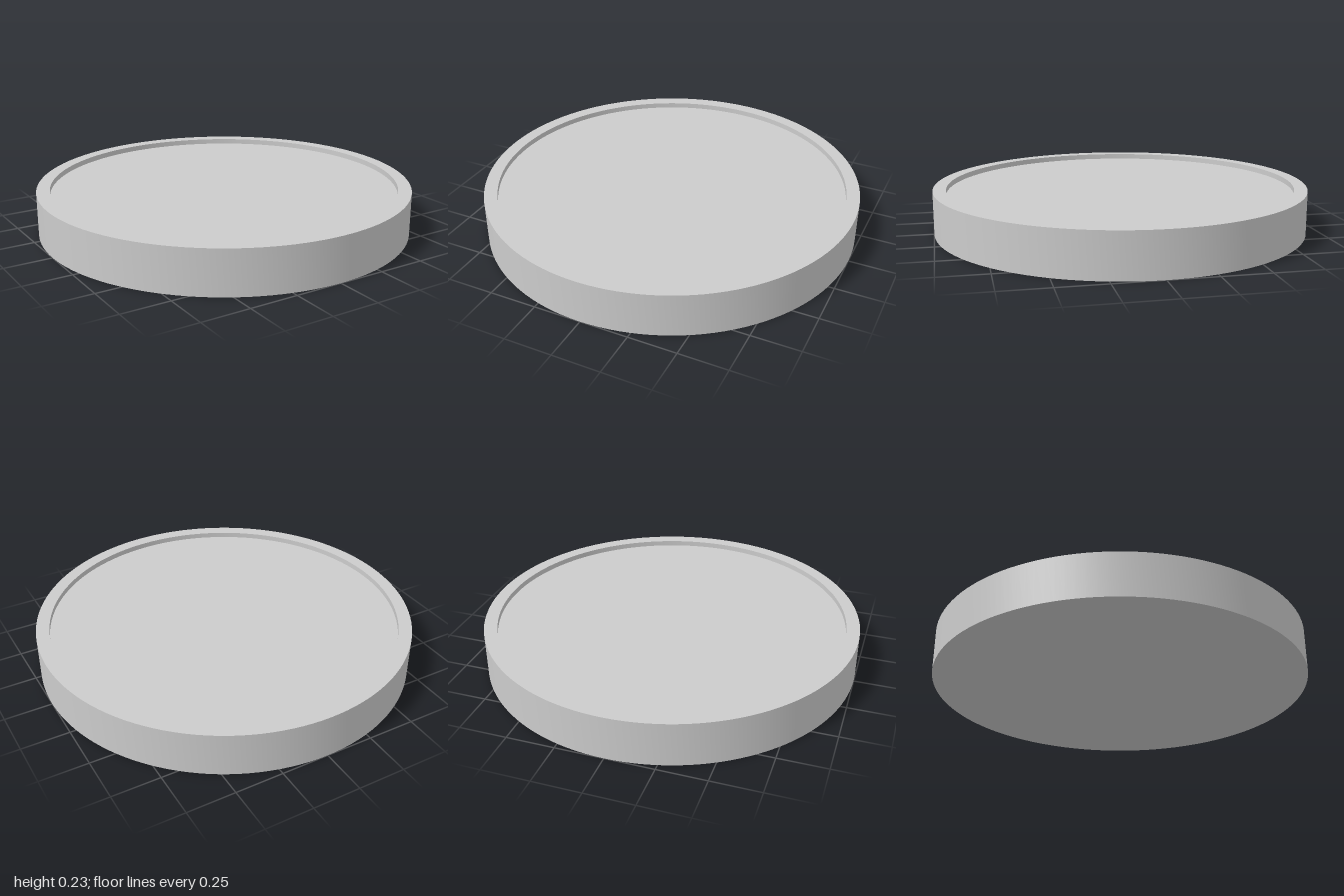
import * as THREE from 'three';
import { toCreasedNormals } from 'three/addons/utils/BufferGeometryUtils.js';

const RADIUS = 1;
const INNER_RADIUS = 0.93;
const HEIGHT = 0.232;
const FLOOR = 0.203;
const SEGMENTS = 128;

export function createModel() {
  const group = new THREE.Group();
  group.name = 'roundTray';
  const material = new THREE.MeshStandardMaterial({ color: 0xcccccc });

  // Solid disc with a raised rim around a shallow recess
  const profile = [
    [0, 0],
    [RADIUS, 0],
    [RADIUS, HEIGHT],
    [INNER_RADIUS, HEIGHT],
    [INNER_RADIUS, FLOOR],
    [0, FLOOR],
  ].map(([r, y]) => new THREE.Vector2(r, y));

  const geometry = toCreasedNormals(new THREE.LatheGeometry(profile, SEGMENTS), Math.PI / 6);
  const disc = new THREE.Mesh(geometry, material);
  disc.name = 'rimmedDisc';
  group.add(disc);

  return group;
}
